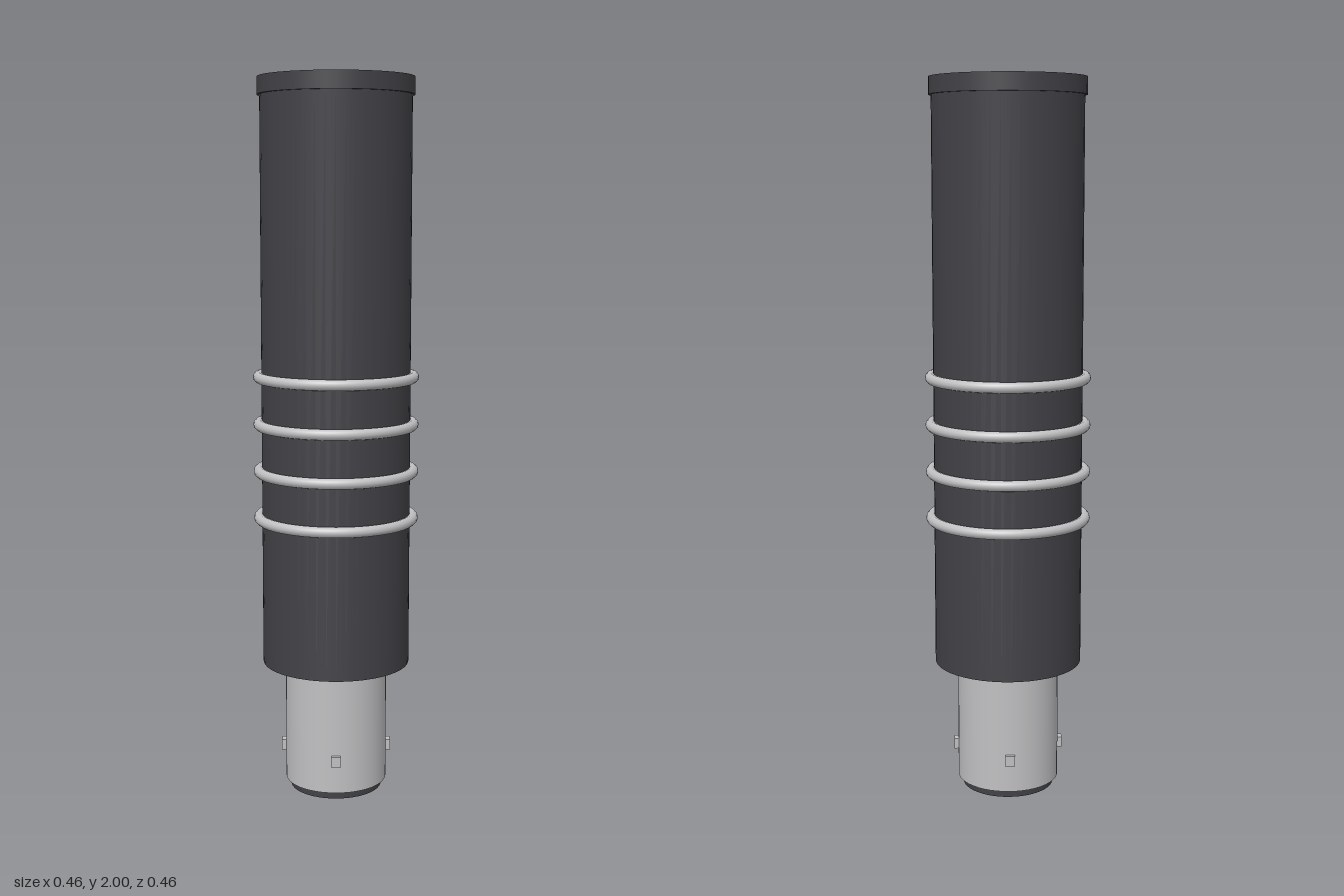
import * as THREE from 'three';

export function createModel() {
  const model = new THREE.Group();
  const mat = (name, color) => {
    const m = new THREE.MeshStandardMaterial({ color });
    m.name = name;
    return m;
  };
  const darkGrip = mat('dark grip', 0x424146);
  const metal = mat('pale metal', 0xc0c0c2);
  const red = mat('red contact', 0xb8261a);

  const add = (name, geometry, material, y = 0, parent = model) => {
    const mesh = new THREE.Mesh(geometry, material);
    mesh.name = name;
    mesh.position.y = y;
    parent.add(mesh);
    return mesh;
  };
  // upright cylinder between two heights
  const cylinder = (name, radius, y0, y1, material, sides = 48) =>
    add(name, new THREE.CylinderGeometry(radius, radius, y1 - y0, sides), material, (y0 + y1) / 2);

  // handle and end cap
  cylinder('handle', 0.207, 0.378, 1.96, darkGrip);
  cylinder('endCap', 0.214, 1.953, 2, darkGrip);

  // metal connector, insulating disc and centre contact
  cylinder('connector', 0.143, 0.033, 0.39, metal);
  cylinder('insulator', 0.129, 0.011, 0.04, darkGrip);
  cylinder('contact', 0.058, 0, 0.02, red, 16);

  // four grip rings
  for (let i = 0; i < 4; i++) {
    const ring = new THREE.TorusGeometry(0.215, 0.015, 12, 64);
    ring.rotateX(Math.PI / 2);
    add('gripRing', ring, metal, 0.795 + i * 0.132);
  }

  // four bayonet pins on the diagonals
  for (let i = 0; i < 4; i++) {
    const pin = new THREE.Group();
    pin.name = 'bayonetPin';
    pin.rotation.y = Math.PI / 4 + (i * Math.PI) / 2;
    add('pinBlock', new THREE.BoxGeometry(0.026, 0.03, 0.03), metal, 0.127, pin).position.z = 0.14;
    model.add(pin);
  }
  return model;
}
